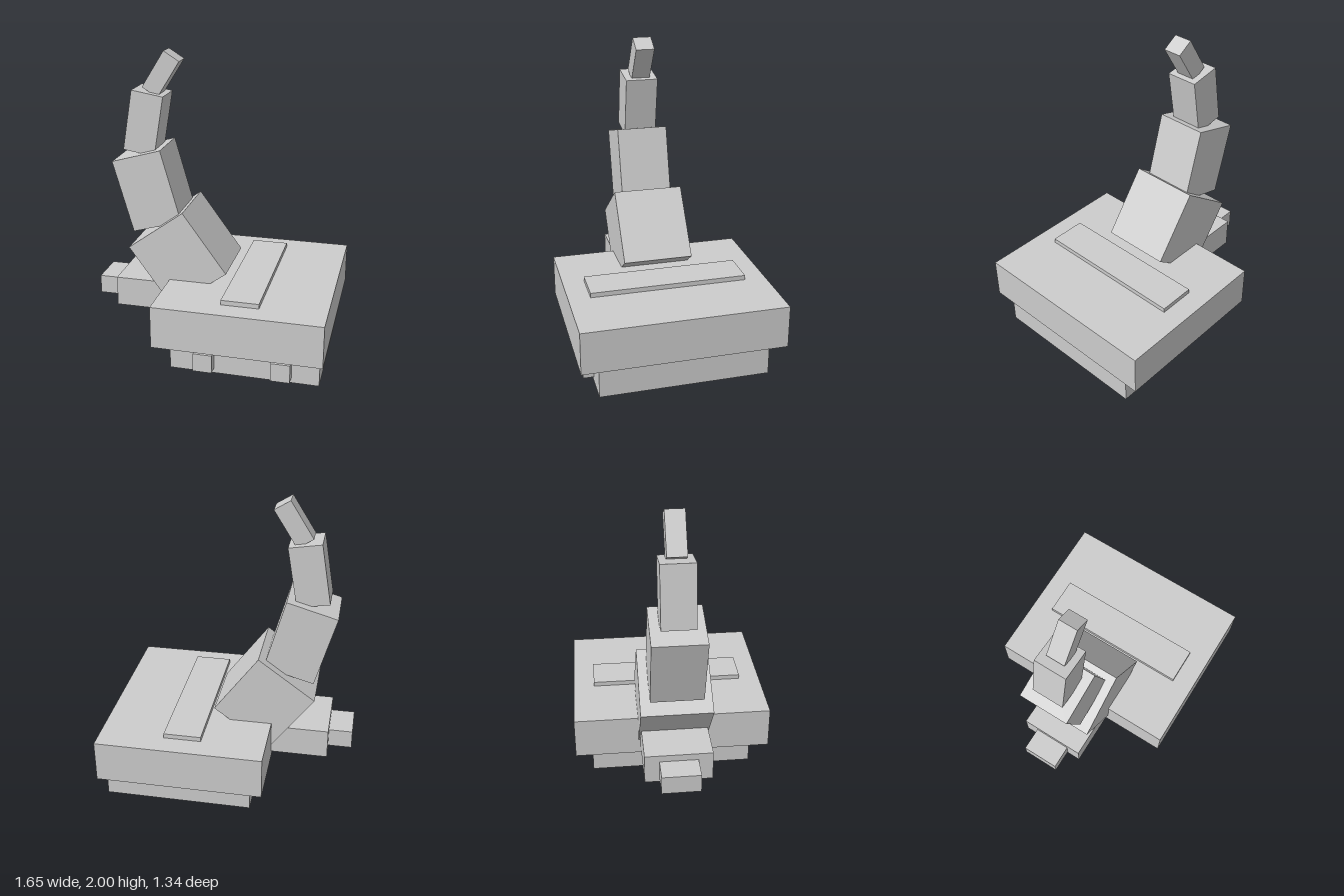
import * as THREE from 'three';

export function createModel() {
  const model = new THREE.Group();
  const grey = new THREE.MeshStandardMaterial({ color: 0xcccccc });
  grey.name = 'plain grey';

  // Box from its centre and size, optionally tilted about z (degrees)
  function block(name, [x, y, z], size, tilt = 0, parent = model) {
    const mesh = new THREE.Mesh(new THREE.BoxGeometry(...size), grey);
    mesh.name = name;
    mesh.position.set(x, y, z);
    mesh.rotation.z = THREE.MathUtils.degToRad(tilt);
    parent.add(mesh);
    return mesh;
  }

  // Stepped base with a raised strip on top
  block('lowerBase', [0.302, 0.0975, 0], [0.985, 0.195, 1.11]);
  block('upperBase', [0.27, 0.338, 0], [1.11, 0.285, 1.34]);
  block('topStrip', [0.267, 0.495, 0], [0.25, 0.034, 1.05]);

  // Pair of knobs on the front of the lower base
  for (const x of [0.045, 0.553]) block('frontKnob', [x, 0.098, 0.585], [0.125, 0.125, 0.08]);

  // Stepped connector at the side
  block('connectorBody', [-0.47, 0.347, 0], [0.4, 0.205, 0.447]);
  block('connectorTip', [-0.745, 0.339, 0], [0.17, 0.128, 0.255]);

  // Curling arm of shrinking, tilted segments: x, y, width, height, depth, tilt
  const arm = new THREE.Group();
  arm.name = 'arm';
  model.add(arm);
  [
    [-0.23, 0.625, 0.469, 0.504, 0.473, 36.2],
    [-0.453, 1.075, 0.348, 0.505, 0.348, 16],
    [-0.488, 1.525, 0.218, 0.411, 0.22, -9.5],
    [-0.375, 1.848, 0.123, 0.286, 0.126, -32],
  ].forEach(([x, y, w, h, d, tilt], i) => block(`armSegment${i + 1}`, [x, y, 0], [w, h, d], tilt, arm));

  return model;
}
